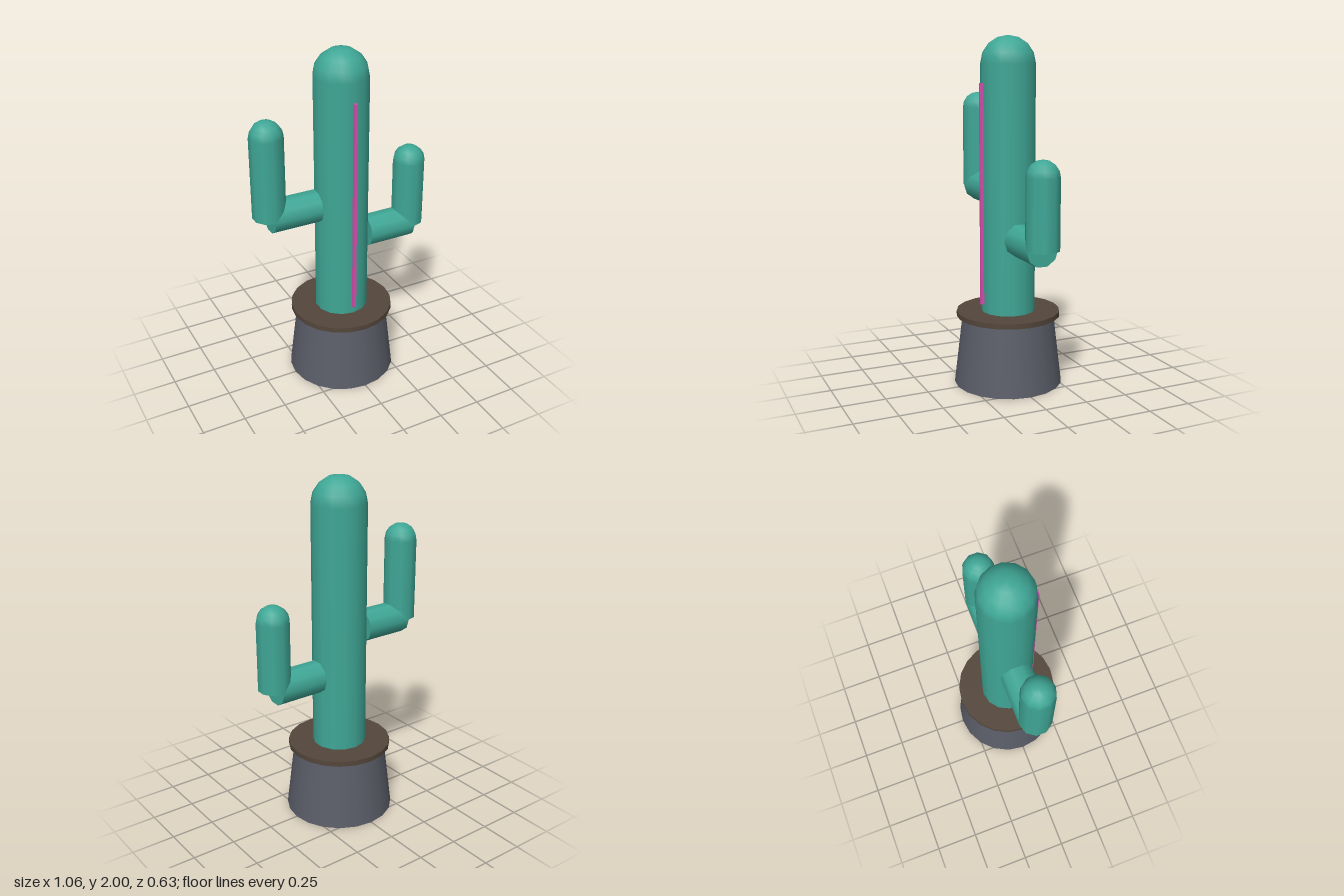
import * as THREE from 'three';

const material = (color) => new THREE.MeshStandardMaterial({ color });

export function createModel() {
  const model = new THREE.Group();
  model.name = 'pottedCactus';
  const green = material(0x3fa796);
  const grey = material(0x5a5d68);
  const brown = material(0x54463b);
  const pink = material(0xd94fb0);

  const add = (parent, name, geometry, mat, x, y, z = 0) => {
    const mesh = new THREE.Mesh(geometry, mat);
    mesh.name = name;
    mesh.position.set(x, y, z);
    parent.add(mesh);
    return mesh;
  };

  // Upright stem with a half-sphere tip
  const addStem = (parent, name, radius, sides, x, bottom, top) => {
    const height = top - bottom;
    add(parent, name, new THREE.CylinderGeometry(radius, radius, height, sides), green, x, bottom + height / 2);
    const dome = new THREE.SphereGeometry(radius, sides, 4, 0, Math.PI * 2, 0, Math.PI / 2);
    dome.rotateY(Math.PI / 2);
    add(parent, name + 'Tip', dome, green, x, top);
  };

  // Pot, wider at the foot, and the soil disc on top
  add(model, 'pot', new THREE.CylinderGeometry(0.267, 0.315, 0.4, 20), grey, 0, 0.2);
  add(model, 'soil', new THREE.CylinderGeometry(0.3, 0.3, 0.03, 20), brown, 0, 0.415);

  // Trunk
  addStem(model, 'trunk', 0.155, 14, 0, 0.425, 1.845);

  // Arms: a level branch and an upright one meeting at the elbow
  const armRadius = 0.094;
  const inner = 0.157, elbow = 0.443;
  for (const [name, side, y, top] of [['leftArm', 1, 0.87, 1.262], ['rightArm', -1, 1.108, 1.578]]) {
    const arm = new THREE.Group();
    arm.name = name;
    model.add(arm);
    const branch = new THREE.CylinderGeometry(armRadius, armRadius, elbow - inner, 10);
    branch.rotateZ(Math.PI / 2);
    add(arm, name + 'Branch', branch, green, side * (inner + elbow) / 2, y);
    addStem(arm, name + 'Upright', armRadius, 10, side * elbow, y, top);
  }

  // Narrow coloured strip down the front
  add(model, 'frontStrip', new THREE.BoxGeometry(0.018, 1.26, 0.018), pink, 0, 1.108, 0.163);

  return model;
}
